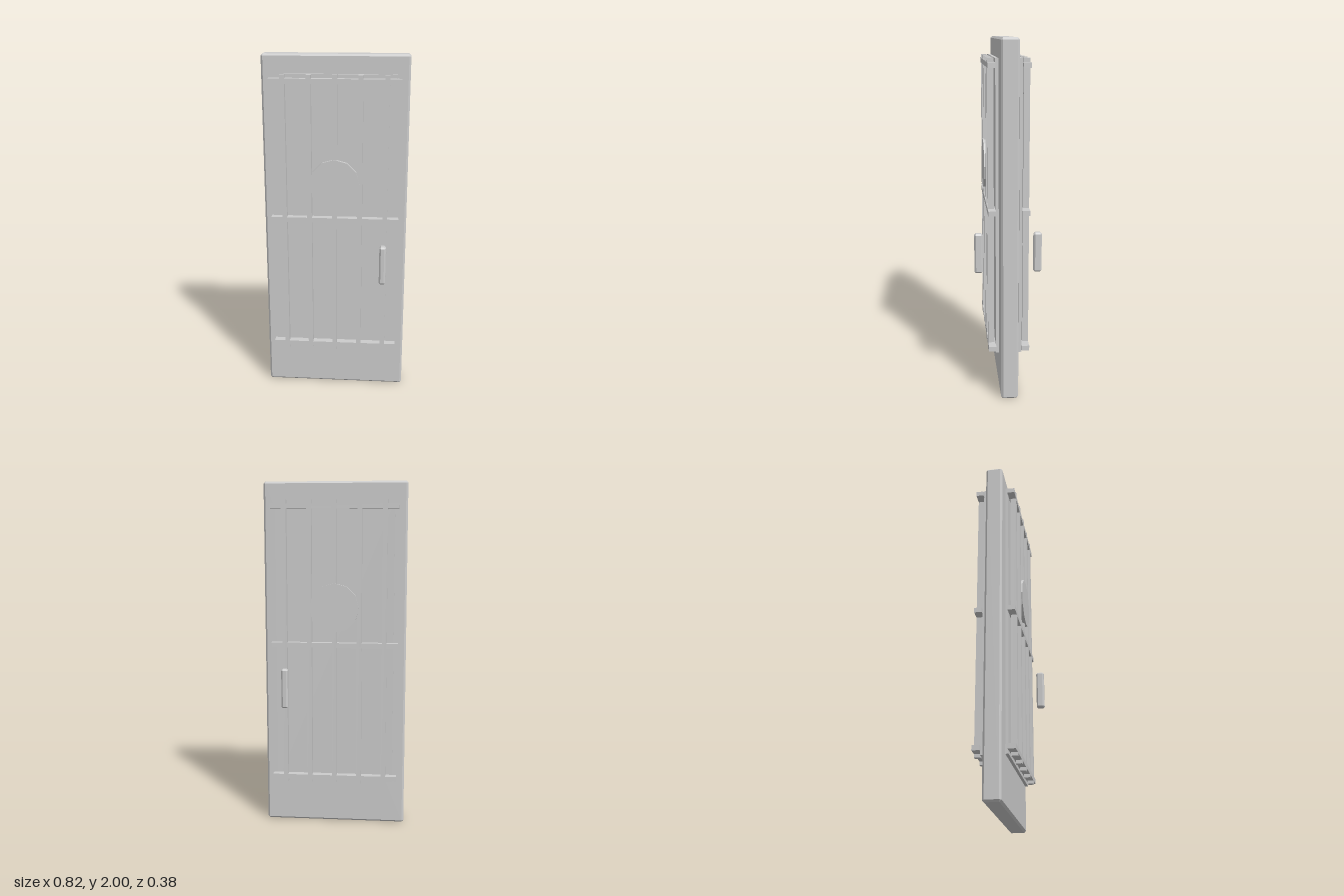
import * as THREE from 'three';
import { ConvexGeometry } from 'three/addons/geometries/ConvexGeometry.js';

const material = new THREE.MeshStandardMaterial({ color: 0xcccccc, flatShading: true });

// Box with every edge and corner cut by a flat chamfer c.
function chamferedBox(w, h, d, c) {
  const points = [];
  for (const sx of [-1, 1]) for (const sy of [-1, 1]) for (const sz of [-1, 1]) {
    for (let axis = 0; axis < 3; axis++) {
      const half = [w / 2 - c, h / 2 - c, d / 2 - c];
      half[axis] += c;
      points.push(new THREE.Vector3(sx * half[0], sy * half[1], sz * half[2]));
    }
  }
  return new ConvexGeometry(points);
}

function addPart(parent, name, geometry, x, y, z) {
  const mesh = new THREE.Mesh(geometry, material);
  mesh.name = name;
  mesh.position.set(x, y, z);
  parent.add(mesh);
  return mesh;
}

export function createModel() {
  const door = new THREE.Group();
  door.name = 'door';

  addPart(door, 'doorSlab', chamferedBox(0.82, 2, 0.097, 0.011), 0, 1, 0);

  const panel = new THREE.BoxGeometry(0.678, 1.64, 0.017);
  const verticalBar = new THREE.BoxGeometry(0.027, 1.64, 0.034);
  const crossBar = new THREE.BoxGeometry(0.727, 0.028, 0.042);
  const disc = new THREE.CylinderGeometry(0.141, 0.141, 0.02, 12).rotateX(Math.PI / 2);
  const handle = chamferedBox(0.037, 0.228, 0.046, 0.009);

  // The same fittings sit on both faces of the door.
  for (const side of [1, -1]) {
    const face = new THREE.Group();
    face.name = side > 0 ? 'frontFittings' : 'backFittings';
    door.add(face);

    addPart(face, 'panel', panel, 0, 1.075, side * 0.0645);
    for (let i = -2; i <= 2; i++) {
      addPart(face, 'verticalBar', verticalBar, i * 0.1432, 1.075, side * 0.097);
    }
    for (const y of [0.288, 1.075, 1.86]) {
      addPart(face, 'crossBar', crossBar, 0, y, side * 0.093);
    }
    addPart(face, 'disc', disc, 0, 1.29, side * 0.112);
    addPart(face, 'handle', handle, 0.279, 0.831, side * 0.165);
  }
  return door;
}
